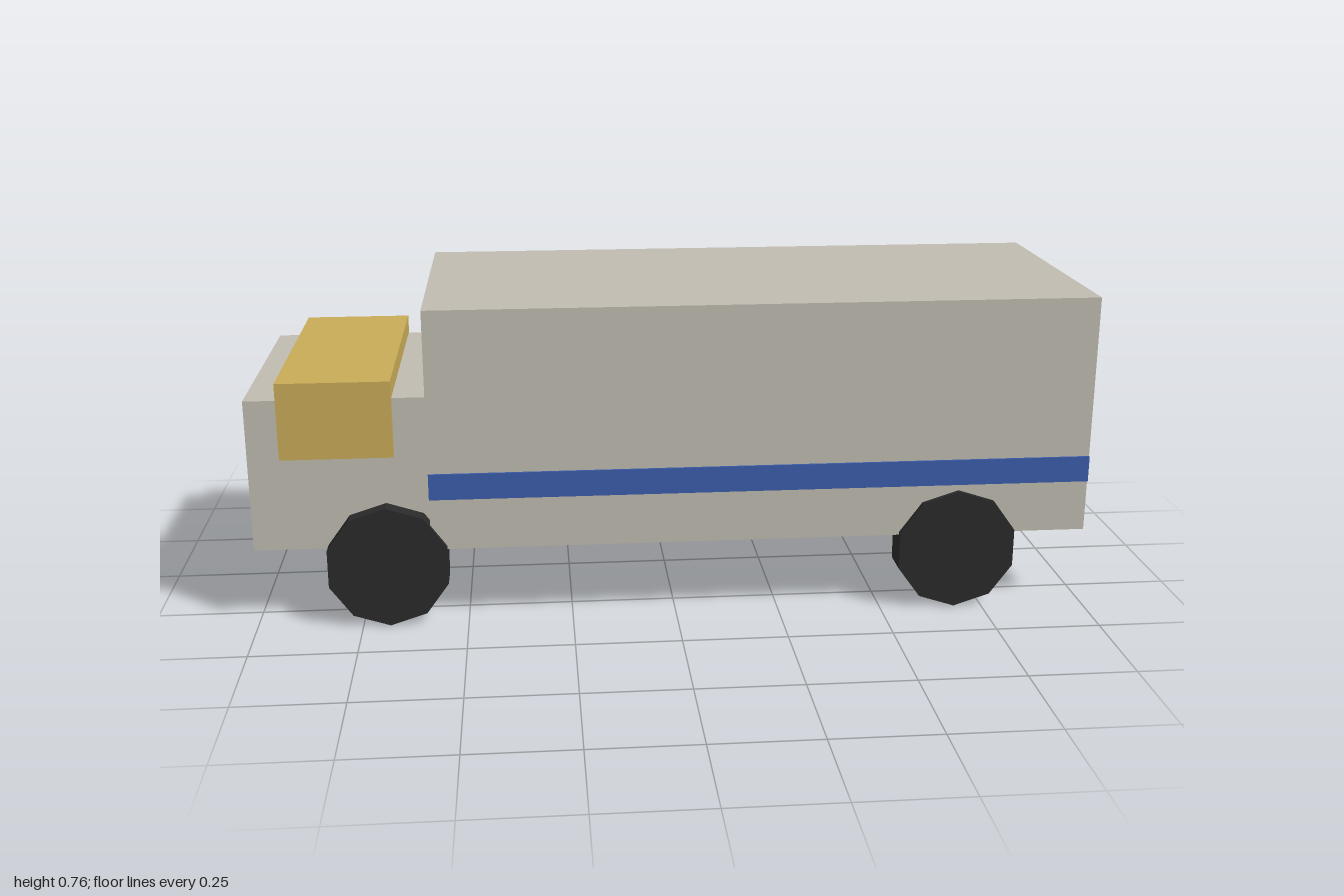
import * as THREE from 'three';

export function createModel() {
  const truck = new THREE.Group();
  truck.name = 'boxTruck';

  const material = (name, color) => {
    const m = new THREE.MeshStandardMaterial({ color });
    m.name = name;
    return m;
  };
  const body = material('warmGrey', 0xc0bbb0);
  const gold = material('gold', 0xc9ab58);
  const blue = material('blue', 0x3c5cab);
  const rubber = material('rubber', 0x2a2a2a);
  rubber.flatShading = true;

  // Axis-aligned box given by its extents
  const addBox = (name, mat, [x0, x1], [y0, y1], [z0, z1]) => {
    const mesh = new THREE.Mesh(new THREE.BoxGeometry(x1 - x0, y1 - y0, z1 - z0), mat);
    mesh.name = name;
    mesh.position.set((x0 + x1) / 2, (y0 + y1) / 2, (z0 + z1) / 2);
    truck.add(mesh);
  };

  // Cargo box, cab and the window block wrapping over the cab
  addBox('cargoBox', body, [-0.583, 1], [0.186, 0.765], [-0.342, 0.342]);
  addBox('cab', body, [-1, -0.583], [0.186, 0.553], [-0.313, 0.313]);
  addBox('cabWindow', gold, [-0.924, -0.661], [0.413, 0.597], [-0.328, 0.328]);

  // Side stripes
  addBox('leftStripe', blue, [-0.583, 1], [0.311, 0.374], [0.342, 0.347]);
  addBox('rightStripe', blue, [-0.583, 1], [0.311, 0.374], [-0.347, -0.342]);

  // Ten-sided wheels with axles along z
  const wheelGeometry = new THREE.CylinderGeometry(0.148, 0.148, 0.077, 10);
  wheelGeometry.rotateX(Math.PI / 2);
  for (const [label, x] of [['front', -0.685], ['rear', 0.683]]) {
    for (const side of [-1, 1]) {
      const wheel = new THREE.Mesh(wheelGeometry, rubber);
      wheel.name = label + 'Wheel';
      wheel.position.set(x, 0.148, side * 0.316);
      truck.add(wheel);
    }
  }
  return truck;
}
